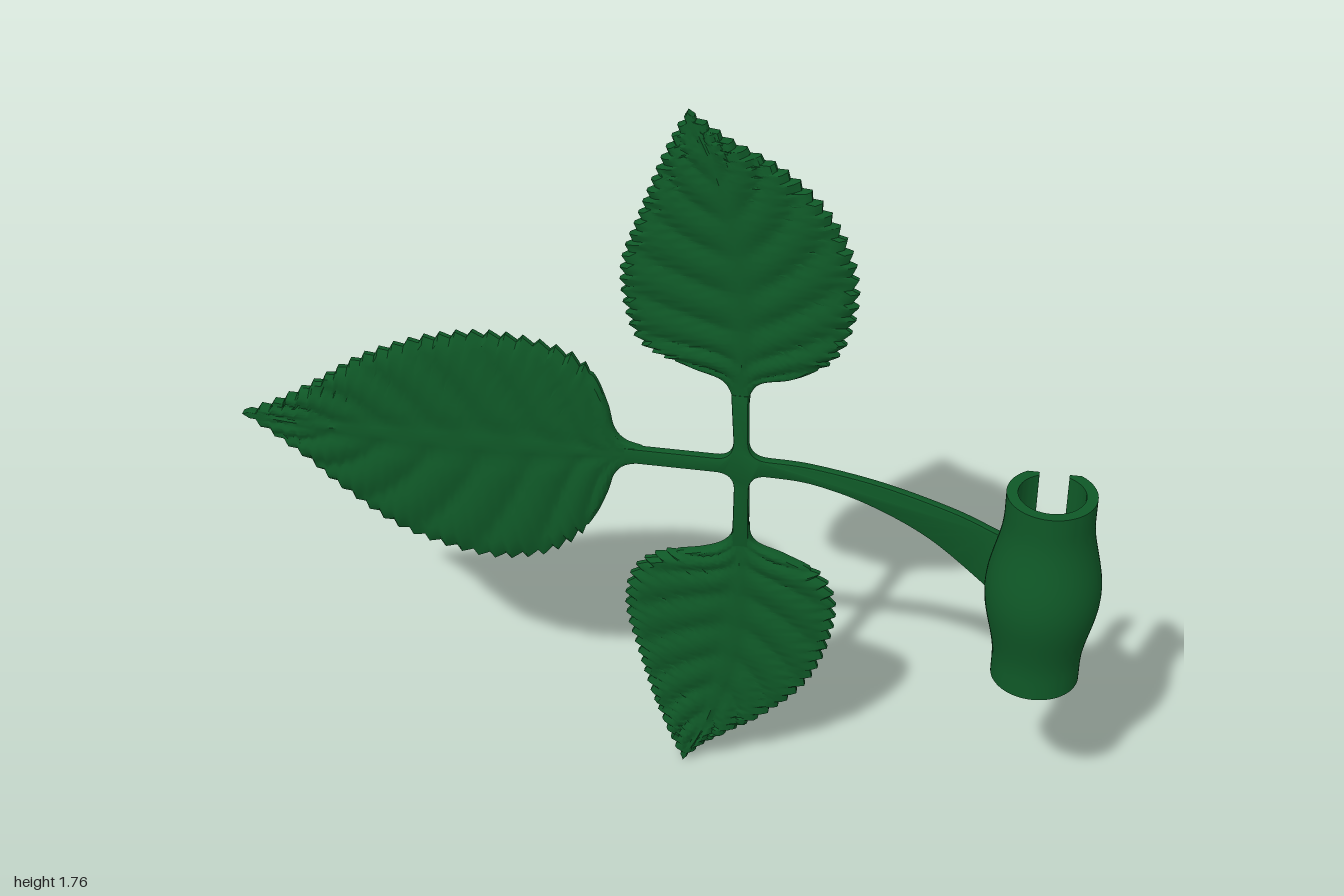
import * as THREE from 'three';
import { toCreasedNormals } from 'three/addons/utils/BufferGeometryUtils.js';

const BACK = -0.105; // flat rear plane shared by all parts

// Skin a series of closed rings (equal point counts) and cap both ends
function loft(rings) {
  const L = rings[0].length, last = (rings.length - 1) * L, index = [];
  for (let i = 0; i < rings.length - 1; i++) {
    for (let j = 0; j < L; j++) {
      const k = (j + 1) % L, a = i * L, b = a + L;
      index.push(a + j, a + k, b + j, a + k, b + k, b + j);
    }
  }
  for (let j = 0; j < L / 2 - 1; j++) {
    const p = L - 2 - j, q = L - 1 - j;
    index.push(last + j, last + j + 1, last + p, last + j, last + p, last + q);
    index.push(j, p, j + 1, j, q, p);
  }
  const geo = new THREE.BufferGeometry();
  geo.setAttribute('position', new THREE.Float32BufferAttribute(rings.flat(2), 3));
  geo.setIndex(index);
  return toCreasedNormals(geo, 0.65);
}

const curve = (pts) => new THREE.SplineCurve(pts.map(([x, y]) => new THREE.Vector2(x, y)));

// Serrated leaf: edges are listed base to tip, left and right as seen looking toward the tip
function leafGeometry(leftPts, midPts, rightPts) {
  const left = curve(leftPts), mid = curve(midPts), right = curve(rightPts);
  const ROWS = 120, COLS = 28, VEINS = 8, rings = [];
  for (let i = 0; i <= ROWS; i++) {
    const u = i / ROWS, c = mid.getPointAt(u);
    const tooth = u > 0.2 && u < 0.99 ? ((i % 4) / 3 - 0.6) * 0.016 : 0;
    const [l, r] = [left, right].map((e) => {
      const p = e.getPointAt(u);
      return p.add(p.clone().sub(c).normalize().multiplyScalar(tooth));
    });
    const fade = THREE.MathUtils.smoothstep(u, 0.02, 0.2) * (1 - THREE.MathUtils.smoothstep(u, 0.85, 1));
    const ring = [];
    for (let j = 0; j <= COLS; j++) {
      const v = (j / COLS) * 2 - 1, s = Math.abs(v);
      const p = c.clone().lerp(v < 0 ? l : r, s);
      // pillowed lamina between slanting side veins, plus a raised midrib
      const vein = Math.abs(Math.sin(Math.PI * VEINS * (u - 0.22 * s)));
      const round = Math.sqrt(1 - s ** 6);
      const h = 0.012 + 0.008 * round + fade * round * (0.01 * vein * Math.min(1, s * 4) + 0.007 * Math.exp(-((s / 0.07) ** 2)));
      ring.push([p.x, p.y, BACK + h]);
    }
    ring.push([r.x, r.y, BACK], [l.x, l.y, BACK]);
    rings.push(ring);
  }
  return loft(rings);
}

// Bulging tube with a rear slot and a flattened back
function clipGeometry() {
  const cx = 0.865, cz = -0.025, bore = 0.075, slot = 0.033, N = 56, rings = [];
  for (let i = 0; i <= 32; i++) {
    const y = 0.45 + (0.5 * i) / 32;
    const t = Math.min(1, Math.abs(y - 0.695) / 0.2);
    const r = 0.1 + 0.015 * (1 + Math.cos(Math.PI * t));
    const arc = (rad) => {
      const a = Math.asin(slot / rad), pts = [];
      for (let j = 0; j <= N; j++) {
        const q = a + ((2 * Math.PI - 2 * a) * j) / N;
        pts.push([cx - rad * Math.sin(q), y, Math.max(BACK, cz - rad * Math.cos(q))]);
      }
      return pts;
    };
    rings.push([...arc(r), ...arc(bore).reverse()]);
  }
  return loft(rings);
}

// Crossing leaf stalks and the curved arm that widens into the clip
function stemGeometry() {
  const v = (pts) => pts.map(([x, y]) => new THREE.Vector2(x, y));
  const s = new THREE.Shape();
  s.moveTo(-0.1, 0.872);
  s.lineTo(0.11, 0.872);
  s.quadraticCurveTo(0.152, 0.872, 0.153, 0.83);
  s.lineTo(0.151, 0.67);
  s.lineTo(0.189, 0.67);
  s.lineTo(0.187, 0.83);
  s.quadraticCurveTo(0.188, 0.872, 0.23, 0.872);
  s.splineThru(v([[0.33, 0.865], [0.46, 0.825], [0.6, 0.75], [0.735, 0.635], [0.79, 0.58]]));
  s.lineTo(0.79, 0.765);
  s.splineThru(v([[0.75, 0.785], [0.65, 0.83], [0.49, 0.88], [0.33, 0.91], [0.23, 0.915]]));
  s.quadraticCurveTo(0.186, 0.915, 0.184, 0.96);
  s.lineTo(0.182, 1.085);
  s.lineTo(0.143, 1.085);
  s.lineTo(0.15, 0.96);
  s.quadraticCurveTo(0.15, 0.912, 0.11, 0.912);
  s.lineTo(-0.1, 0.912);
  const geo = new THREE.ExtrudeGeometry(s, {
    depth: 0.012, bevelThickness: 0.005, bevelSize: 0.005, bevelOffset: -0.005, bevelSegments: 2, curveSegments: 10,
  });
  geo.translate(0, 0, BACK + 0.005);
  return toCreasedNormals(geo, 0.6);
}

export function createModel() {
  const group = new THREE.Group();
  const green = new THREE.MeshStandardMaterial({ color: 0x0f5827 });
  green.name = 'leaf green';
  const add = (name, geo) => {
    const mesh = new THREE.Mesh(geo, green);
    mesh.name = name;
    group.add(mesh);
    return mesh;
  };

  add('topLeaf', leafGeometry(
    [[0.143, 1.06], [0.14, 1.09], [0.112, 1.122], [0.025, 1.15], [-0.055, 1.19], [-0.09, 1.27], [-0.1, 1.39], [-0.06, 1.52], [-0.01, 1.66], [0.04, 1.77]],
    [[0.163, 1.06], [0.165, 1.25], [0.15, 1.45], [0.1, 1.64], [0.04, 1.77]],
    [[0.183, 1.06], [0.187, 1.09], [0.213, 1.12], [0.29, 1.14], [0.36, 1.19], [0.395, 1.26], [0.41, 1.36], [0.39, 1.47], [0.33, 1.57], [0.24, 1.65], [0.125, 1.71], [0.04, 1.77]],
  ));
  add('sideLeaf', leafGeometry(
    [[-0.06, 0.872], [-0.1, 0.86], [-0.125, 0.83], [-0.14, 0.78], [-0.17, 0.71], [-0.22, 0.64], [-0.3, 0.585], [-0.42, 0.562], [-0.55, 0.585], [-0.66, 0.63], [-0.78, 0.72], [-0.88, 0.81], [-1, 0.897]],
    [[-0.06, 0.892], [-0.3, 0.89], [-0.65, 0.885], [-1, 0.897]],
    [[-0.06, 0.912], [-0.1, 0.924], [-0.125, 0.955], [-0.14, 1.02], [-0.175, 1.1], [-0.25, 1.152], [-0.4, 1.175], [-0.55, 1.15], [-0.7, 1.085], [-0.82, 1.0], [-0.92, 0.935], [-1, 0.897]],
  ));
  add('bottomLeaf', leafGeometry(
    [[0.189, 0.73], [0.193, 0.695], [0.215, 0.672], [0.275, 0.65], [0.355, 0.605], [0.39, 0.52], [0.375, 0.4], [0.33, 0.285], [0.25, 0.19], [0.17, 0.125], [0.095, 0.07], [0.04, 0.005]],
    [[0.17, 0.73], [0.168, 0.55], [0.15, 0.35], [0.1, 0.15], [0.04, 0.005]],
    [[0.151, 0.73], [0.147, 0.695], [0.125, 0.668], [0.08, 0.648], [-0.02, 0.62], [-0.08, 0.56], [-0.095, 0.455], [-0.065, 0.32], [-0.03, 0.19], [0.01, 0.08], [0.04, 0.005]],
  ));
  add('stem', stemGeometry());
  add('clip', clipGeometry());

  // Partition closing the bore halfway up
  add('clipPartition', new THREE.CylinderGeometry(0.078, 0.078, 0.05, 32)).position.set(0.865, 0.7, -0.025);
  return group;
}
